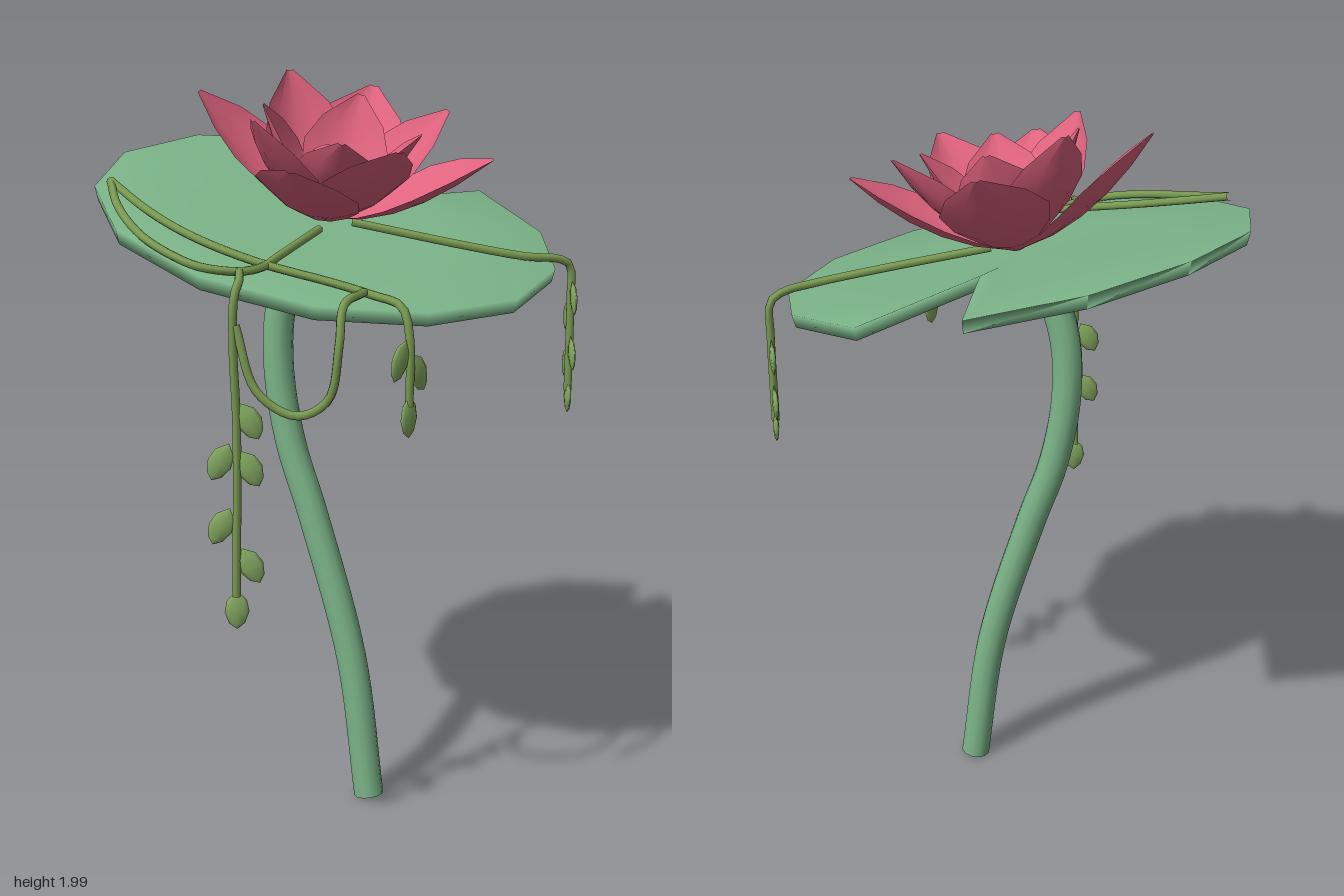
import * as THREE from 'three';
import { mergeVertices } from 'three/addons/utils/BufferGeometryUtils.js';

const mat = (name, color, side = THREE.FrontSide) => {
  const m = new THREE.MeshStandardMaterial({ color, side });
  m.name = name;
  return m;
};

// Height of the tilted pad's upper face
const padY = (x, z) => 1.62 - 0.25 * z - 0.05 * Math.max(0, x);

// Surface through equal-length rows of points
function loft(rows, closed) {
  const n = rows[0].length, index = [];
  for (let k = 0; k < rows.length - 1; k++) {
    for (let i = 0; i < (closed ? n : n - 1); i++) {
      const j = (i + 1) % n;
      const a = k * n + i, b = k * n + j, c = a + n, d = b + n;
      index.push(a, d, c, a, b, d);
    }
  }
  let g = new THREE.BufferGeometry();
  g.setAttribute('position', new THREE.Float32BufferAttribute(rows.flat(2), 3));
  g.setIndex(index);
  g = mergeVertices(g);
  g.computeVertexNormals();
  return g;
}

// Notched pad: rings from the top centre, over the rim, to the bottom centre
function padGeometry() {
  const outline = [
    [-0.02, -0.605], [0.26, -0.55], [0.49, -0.37], [0.2, -0.09], [0.61, -0.11],
    [0.58, 0.19], [0.43, 0.42], [0.17, 0.57], [-0.12, 0.585], [-0.38, 0.47],
    [-0.56, 0.24], [-0.61, -0.06], [-0.515, -0.33], [-0.305, -0.53],
  ];
  const rings = [[0, -0.01], [0.55, -0.01], [1, 0], [0.985, -0.037], [0.55, -0.045], [0, -0.045]];
  return loft(rings.map(([s, dy]) => outline.map(([px, pz]) => {
    const x = -0.02 + (px + 0.02) * s, z = pz * s;
    return [x, padY(x, z) + dy, z];
  })), true);
}

// Cupped petal growing out along +z and curving upward
function petalGeometry(R, H, W) {
  const widths = [0.15, 0.55, 0.88, 1, 0.72, 0.08];
  return loft(widths.map((w, k) => {
    const t = k / 5;
    return [-1, -0.5, 0, 0.5, 1].map((u) => [
      u * W * w,
      H * (0.45 * t + 0.55 * t * t) + u * u * w * 0.035,
      R * Math.pow(t, 0.85) - u * u * w * 0.03,
    ]);
  }), false);
}

export function createModel() {
  const root = new THREE.Group();
  const green = mat('pad green', 0x7db68a);
  const pink = mat('petal pink', 0xe0637f, THREE.DoubleSide);
  const vineGreen = mat('vine green', 0x7a9a52);
  const leafGreen = mat('leaf green', 0x86ac62);

  const add = (parent, name, geo, material) => {
    const m = new THREE.Mesh(geo, material);
    m.name = name;
    parent.add(m);
    return m;
  };
  const tube = (parent, name, pts, r, material, sides = 7) => {
    const curve = new THREE.CatmullRomCurve3(pts.map((p) => new THREE.Vector3(...p)));
    return add(parent, name, new THREE.TubeGeometry(curve, pts.length * 5, r, sides), material);
  };

  add(root, 'lilyPad', padGeometry(), green);

  // Stem, bending within one slanted plane, with end caps
  const stem = [[0, 0.14], [0.4, 0.095], [0.8, 0], [1.0, -0.055], [1.2, -0.083], [1.37, -0.078], [1.54, -0.035]]
    .map(([y, z]) => [0.04 - 0.644 * (0.14 - z), y, z]);
  tube(root, 'stem', stem, 0.041, green, 12);
  const cap = new THREE.CircleGeometry(0.041, 12);
  const bottom = add(root, 'stemBottom', cap, green);
  bottom.position.set(0.04, 0.001, 0.14);
  bottom.rotation.x = Math.PI / 2;
  const top = add(root, 'stemTop', cap, green);
  top.position.set(...stem[6]);
  top.rotation.x = -Math.PI / 2 + 0.25;

  // Flower: three tiers of petals around a bud
  const flower = new THREE.Group();
  flower.name = 'flower';
  flower.position.set(-0.01, 1.615, 0.01);
  flower.rotation.x = 0.26;
  root.add(flower);
  const tiers = [
    { name: 'outerPetal', size: [0.4, 0.25, 0.14], turns: [-0.94, 0.76, 2.3, -2.5] },
    { name: 'middlePetal', size: [0.3, 0.3, 0.125], turns: [-0.14, 1.35, 3.05, -1.5] },
    { name: 'innerPetal', size: [0.21, 0.28, 0.115], turns: [-0.64, 0.68, 2.3, -2.2] },
  ];
  for (const { name, size, turns } of tiers) {
    const geo = petalGeometry(...size);
    for (const a of turns) add(flower, name, geo, pink).rotation.y = a;
  }
  add(flower, 'bud', new THREE.SphereGeometry(0.058, 12, 8), pink).position.set(0, 0.13, -0.035);

  // Vines lying on the pad: [x, z, lift]
  const onPad = (pts) => pts.map(([x, z, lift = 0.012]) => [x, padY(x, z) + lift, z]);
  const r = 0.011;
  tube(root, 'outerVine', onPad([[-0.5, -0.27, 0.035], [-0.55, -0.15, 0.02], [-0.58, 0], [-0.575, 0.12],
    [-0.54, 0.22], [-0.46, 0.27], [-0.39, 0.265], [-0.31, 0.22], [-0.1, 0.1]]), r, vineGreen);
  tube(root, 'innerVine', [...onPad([[-0.5, -0.27, 0.035], [-0.49, -0.1, 0.02], [-0.455, 0.06], [-0.38, 0.24],
    [-0.27, 0.39], [-0.215, 0.48], [-0.185, 0.56]]), [-0.18, 1.42, 0.585], [-0.18, 1.25, 0.585]], r, vineGreen);
  tube(root, 'longVine', [...onPad([[-0.46, 0.27], [-0.49, 0.315]]), [-0.515, 1.52, 0.33],
    [-0.52, 1.4, 0.33], [-0.512, 1.2, 0.33], [-0.518, 0.76, 0.33]], r, vineGreen);
  tube(root, 'loopVine', [[-0.515, 1.45, 0.335], [-0.485, 1.29, 0.38], [-0.42, 1.235, 0.45], [-0.375, 1.28, 0.52],
    [-0.36, 1.42, 0.545], [-0.33, 1.505, 0.52], [-0.235, 1.52, 0.475]], r, vineGreen);
  tube(root, 'rightVine', [...onPad([[0.02, 0.08], [0.25, 0.27], [0.38, 0.36], [0.47, 0.39]]),
    [0.505, 1.49, 0.395], [0.51, 1.4, 0.395], [0.51, 1.15, 0.395]], r, vineGreen);

  // Flattened pointed leaves; side -1 / 1 leans off the vine, 0 hangs from its end
  const leaf = new THREE.LatheGeometry([[0, -0.052], [0.02, -0.036], [0.031, -0.006], [0.025, 0.025], [0, 0.05]]
    .map(([x, y]) => new THREE.Vector2(x, y)), 8);
  const hangLeaves = (name, x, z, yaw, size, list) => {
    const g = new THREE.Group();
    g.name = name;
    g.position.set(x, 0, z);
    g.rotation.y = yaw;
    root.add(g);
    for (const [y, side] of list) {
      const m = add(g, 'leaf', leaf, leafGreen);
      m.position.set(side * 0.036, y, 0);
      m.rotation.z = side * 0.45;
      m.scale.set(size, size, 0.3 * size);
    }
  };
  hangLeaves('longVineLeaves', -0.517, 0.33, -0.5, 1,
    [[1.21, 1], [1.11, -1], [1.09, 1], [0.945, -1], [0.84, 1], [0.725, 0]]);
  hangLeaves('frontVineLeaves', -0.18, 0.585, 0.25, 1.05, [[1.37, -1], [1.33, 1], [1.225, 0]]);
  hangLeaves('rightVineLeaves', 0.51, 0.395, 1.05, 0.92,
    [[1.41, -1], [1.35, 1], [1.26, -1], [1.22, 1], [1.135, 0]]);

  return root;
}
